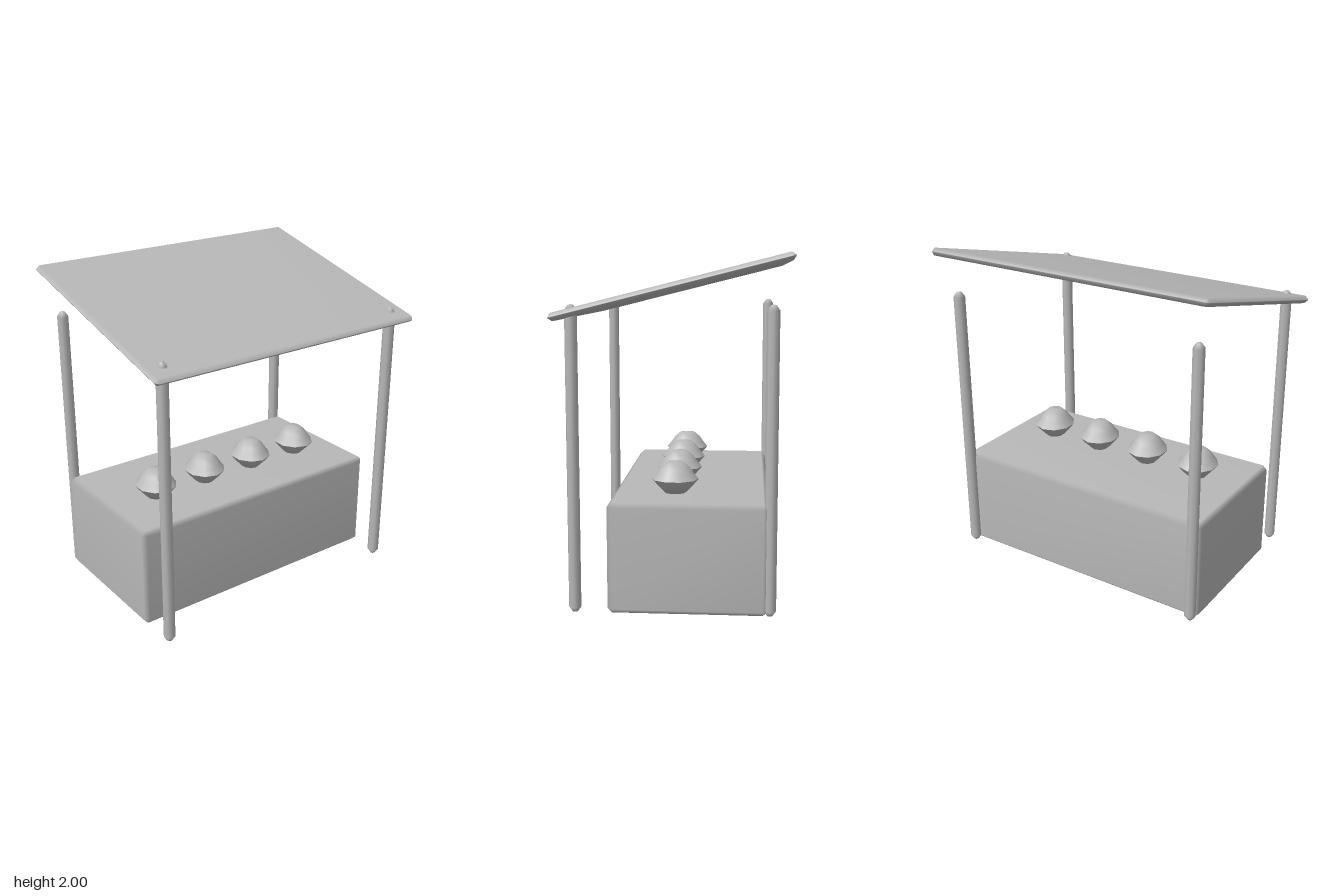
import * as THREE from 'three';
import { mergeVertices } from 'three/addons/utils/BufferGeometryUtils.js';
import { ConvexGeometry } from 'three/addons/geometries/ConvexGeometry.js';

// Box with one-step chamfers and smoothly blended normals
function chamferBox(w, h, d, c) {
  const half = [w / 2, h / 2, d / 2];
  const points = [];
  for (const sx of [-1, 1]) for (const sy of [-1, 1]) for (const sz of [-1, 1]) {
    for (let axis = 0; axis < 3; axis++) {
      const [x, y, z] = half.map((v, i) => (i === axis ? v : v - c));
      points.push(new THREE.Vector3(sx * x, sy * y, sz * z));
    }
  }
  const hull = new ConvexGeometry(points);
  hull.deleteAttribute('normal');
  const geometry = mergeVertices(hull, 1e-4);
  geometry.computeVertexNormals();
  return geometry;
}

function lathe(profile, sides) {
  return new THREE.LatheGeometry(profile.map(([r, y]) => new THREE.Vector2(r, y)), sides);
}

export function createModel() {
  const model = new THREE.Group();
  const grey = new THREE.MeshStandardMaterial({ color: 0xb8b8b8 });
  grey.name = 'plain grey';

  function add(name, geometry, x, y, z, parent = model) {
    const mesh = new THREE.Mesh(geometry, grey);
    mesh.name = name;
    mesh.position.set(x, y, z);
    parent.add(mesh);
    return mesh;
  }

  // Solid counter
  add('counter', chamferBox(1.72, 0.63, 0.895, 0.026), 0, 0.32, -0.083);

  // Four posts with blunt tapered ends
  const post = lathe([[0, 0], [0.016, 0.004], [0.035, 0.03], [0.035, 1.692], [0.016, 1.72], [0, 1.725]], 8);
  for (const x of [-0.82, 0.82]) {
    add('frontPost', post, x, 0, 0.55);
    add('backPost', post, x, 0, -0.543);
  }

  // Sloping roof, low at the front
  const roof = add('roof', chamferBox(1.85, 0.046, 1.355, 0.021), 0, 1.817, 0.002);
  roof.rotation.x = Math.atan(0.25);

  // Faceted bowls with heaped domes
  const bowl = lathe([[0, 0], [0.062, 0.002], [0.1, 0.04], [0.137, 0.083]], 10);
  const dome = lathe([[0.137, 0.083], [0.108, 0.118], [0.085, 0.152], [0.05, 0.181], [0, 0.186]], 10);
  for (const x of [-0.546, -0.182, 0.182, 0.546]) {
    const serving = new THREE.Group();
    serving.name = 'serving';
    serving.position.set(x, 0.634, 0.006);
    serving.scale.x = 0.92;
    add('bowl', bowl, 0, 0, 0, serving);
    add('dome', dome, 0, 0, 0, serving);
    model.add(serving);
  }
  return model;
}
